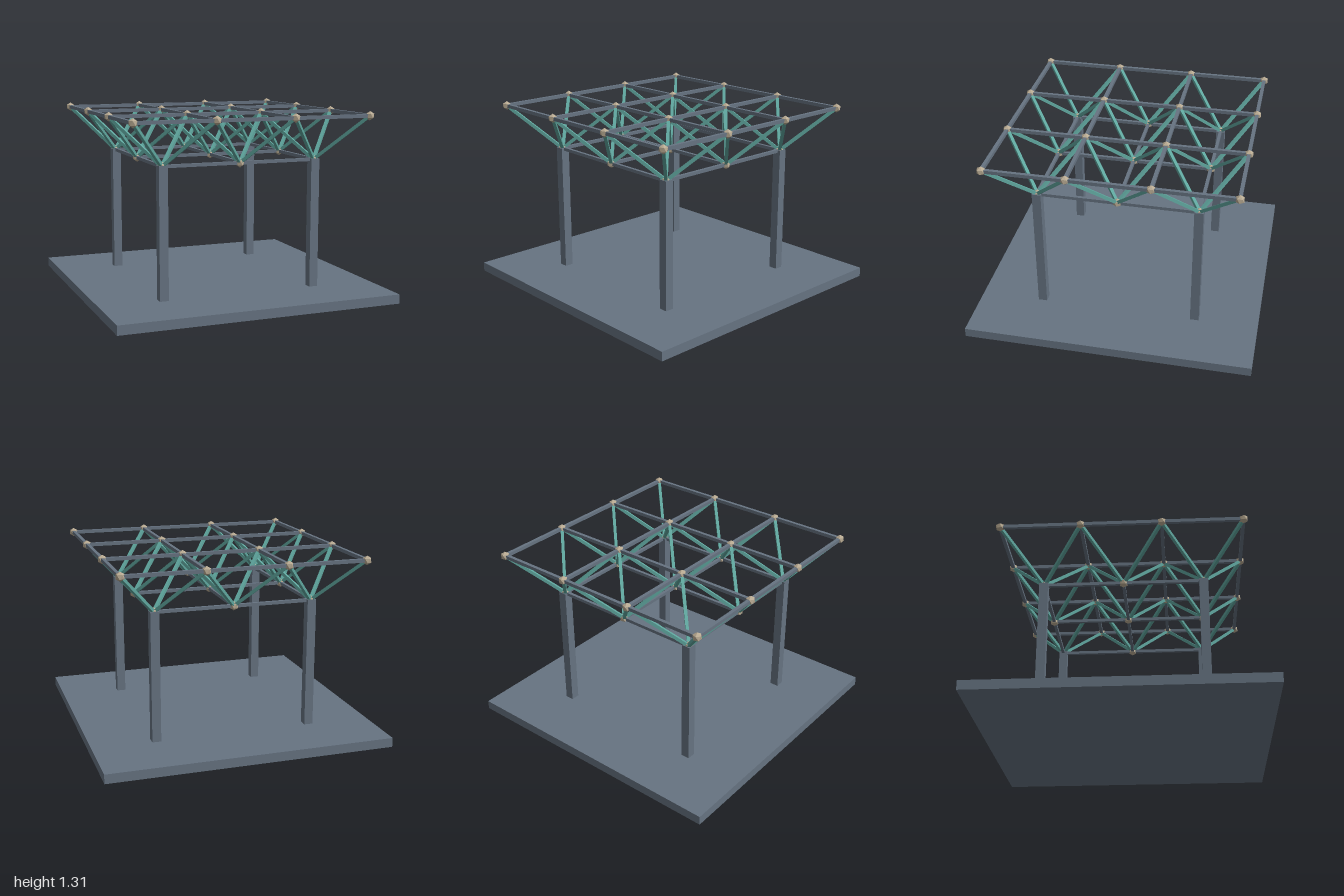
import * as THREE from 'three';

const material = (name, color) => {
  const m = new THREE.MeshStandardMaterial({ color });
  m.name = name;
  return m;
};

export function createModel() {
  const slate = material('slate steel', 0x667381);
  const teal = material('teal paint', 0x5fa69e);
  const tan = material('tan joint', 0xb9ab93);

  const model = new THREE.Group();
  model.name = 'spaceFramePavilion';

  const topLevel = 1.278, lowLevel = 0.965, bay = 0.554;
  const topGrid = [-1.5, -0.5, 0.5, 1.5].map((k) => k * bay);
  const lowGrid = [-1, 0, 1].map((k) => k * bay);

  const group = (name) => {
    const g = new THREE.Group();
    g.name = name;
    model.add(g);
    return g;
  };

  const box = (parent, name, size, position, mat) => {
    const mesh = new THREE.Mesh(new THREE.BoxGeometry(...size), mat);
    mesh.name = name;
    mesh.position.set(...position);
    parent.add(mesh);
    return mesh;
  };

  // Square bar between two points
  const bar = (parent, name, a, b, width, mat) => {
    const mid = a.clone().add(b).multiplyScalar(0.5);
    const mesh = box(parent, name, [width, width, a.distanceTo(b)], mid.toArray(), mat);
    mesh.lookAt(b);
  };

  // Base slab and four columns
  const slabHeight = 0.065, columnTop = 0.972;
  box(model, 'baseSlab', [2, slabHeight, 2], [0, slabHeight / 2, 0], slate);
  const columns = group('columns');
  for (const x of [-bay, bay]) for (const z of [-bay, bay]) {
    box(columns, 'column', [0.062, columnTop - slabHeight, 0.062],
      [x, (columnTop + slabHeight) / 2, z], slate);
  }

  // Chord grids, running both ways at each level
  const chordGrid = (name, grid, y, width) => {
    const g = group(name);
    for (const c of grid) for (let i = 0; i < grid.length - 1; i++) {
      const [s, e] = [grid[i], grid[i + 1]];
      bar(g, 'chordX', new THREE.Vector3(s, y, c), new THREE.Vector3(e, y, c), width, slate);
      bar(g, 'chordZ', new THREE.Vector3(c, y, s), new THREE.Vector3(c, y, e), width, slate);
    }
  };
  chordGrid('topChords', topGrid, topLevel, 0.024);
  chordGrid('bottomChords', lowGrid, lowLevel, 0.022);

  // Four diagonals fan up from every lower joint
  const diagonals = group('diagonals');
  for (const x of lowGrid) for (const z of lowGrid) {
    const foot = new THREE.Vector3(x, lowLevel, z);
    for (const sx of [-1, 1]) for (const sz of [-1, 1]) {
      const head = new THREE.Vector3(x + sx * bay / 2, topLevel, z + sz * bay / 2);
      bar(diagonals, 'diagonal', foot, head, 0.022, teal);
    }
  }

  // Faceted ball joints, each with a vertex pointing straight up
  const jointGeometry = new THREE.IcosahedronGeometry(0.032, 0);
  jointGeometry.rotateZ(Math.atan2(2, 1 + Math.sqrt(5)));
  const joints = group('joints');
  for (const [grid, y] of [[topGrid, topLevel], [lowGrid, lowLevel]]) {
    for (const x of grid) for (const z of grid) {
      const joint = new THREE.Mesh(jointGeometry, tan);
      joint.name = 'joint';
      joint.position.set(x, y, z);
      joints.add(joint);
    }
  }

  return model;
}
